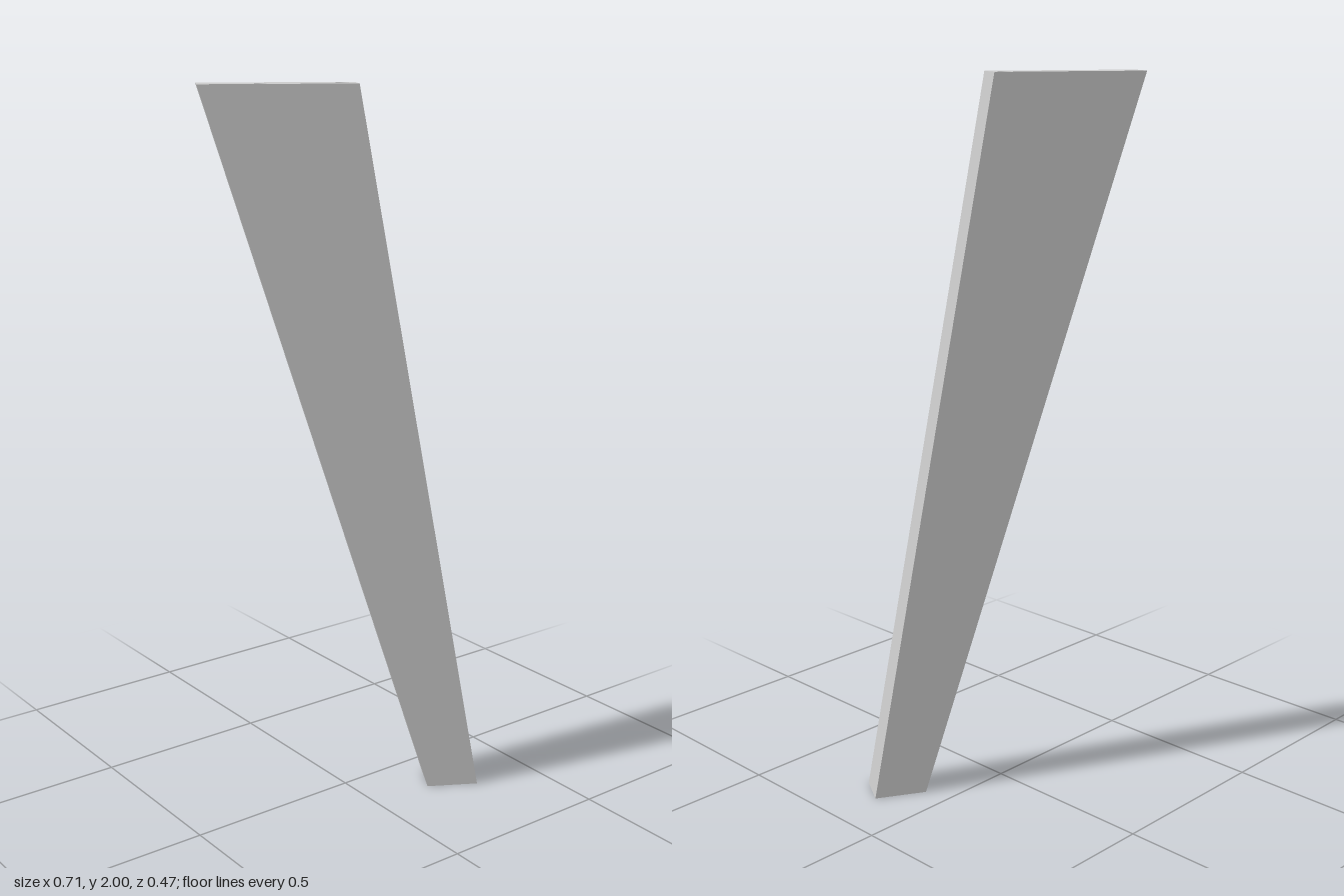
import * as THREE from 'three';

const HEIGHT = 2;
const HALF = 0.0495; // half the board thickness
const TOP = [-0.385, 0.031]; // ends of the top edge along the board
const FOOT = [0.236, 0.383]; // ends of the bottom edge along the board
const HOLES = [-0.2195, -0.008];
const HOLE_RADIUS = 0.0175;
const HOLE_DEPTH = 0.12;
const SEGMENTS = 32;

export function createModel() {
  const group = new THREE.Group();
  group.name = 'taperedLeg';
  const material = new THREE.MeshStandardMaterial({ color: 0xcccccc });
  const inside = new THREE.MeshStandardMaterial({ color: 0xcccccc, side: THREE.DoubleSide });

  // The leg is modelled along x and turned as a whole
  const leg = new THREE.Group();
  leg.name = 'leg';
  leg.rotation.y = -Math.PI / 6;
  group.add(leg);

  const add = (name, geometry, mat, x = 0, y = 0) => {
    const mesh = new THREE.Mesh(geometry, mat);
    mesh.name = name;
    mesh.position.set(x, y, 0);
    leg.add(mesh);
  };

  // Slanting, tapered body: a box with its ends moved, left open at the top
  const body = new THREE.BoxGeometry(1, HEIGHT, HALF * 2);
  body.translate(0, HEIGHT / 2, 0);
  const p = body.attributes.position;
  for (let i = 0; i < p.count; i++) {
    const ends = p.getY(i) > HEIGHT / 2 ? TOP : FOOT;
    p.setX(i, ends[p.getX(i) > 0 ? 1 : 0]);
  }
  const index = Array.from(body.index.array);
  index.splice(12, 6); // the box's top face
  body.setIndex(index);
  body.clearGroups();
  body.computeVertexNormals();
  add('body', body, material);

  // Top face pierced by the dowel holes
  const outline = new THREE.Shape([
    new THREE.Vector2(TOP[0], -HALF),
    new THREE.Vector2(TOP[1], -HALF),
    new THREE.Vector2(TOP[1], HALF),
    new THREE.Vector2(TOP[0], HALF),
  ]);
  for (const x of HOLES) {
    outline.holes.push(new THREE.Path().absarc(x, 0, HOLE_RADIUS, 0, Math.PI * 2, true));
  }
  const topFace = new THREE.ShapeGeometry(outline, SEGMENTS);
  topFace.rotateX(-Math.PI / 2);
  add('topFace', topFace, material, 0, HEIGHT);

  // Blind dowel holes: wall and floor
  const wall = new THREE.CylinderGeometry(HOLE_RADIUS, HOLE_RADIUS, HOLE_DEPTH, SEGMENTS, 1, true);
  const floor = new THREE.CircleGeometry(HOLE_RADIUS, SEGMENTS).rotateX(-Math.PI / 2);
  for (const x of HOLES) {
    add('dowelHoleWall', wall, inside, x, HEIGHT - HOLE_DEPTH / 2);
    add('dowelHoleFloor', floor, material, x, HEIGHT - HOLE_DEPTH);
  }

  return group;
}
